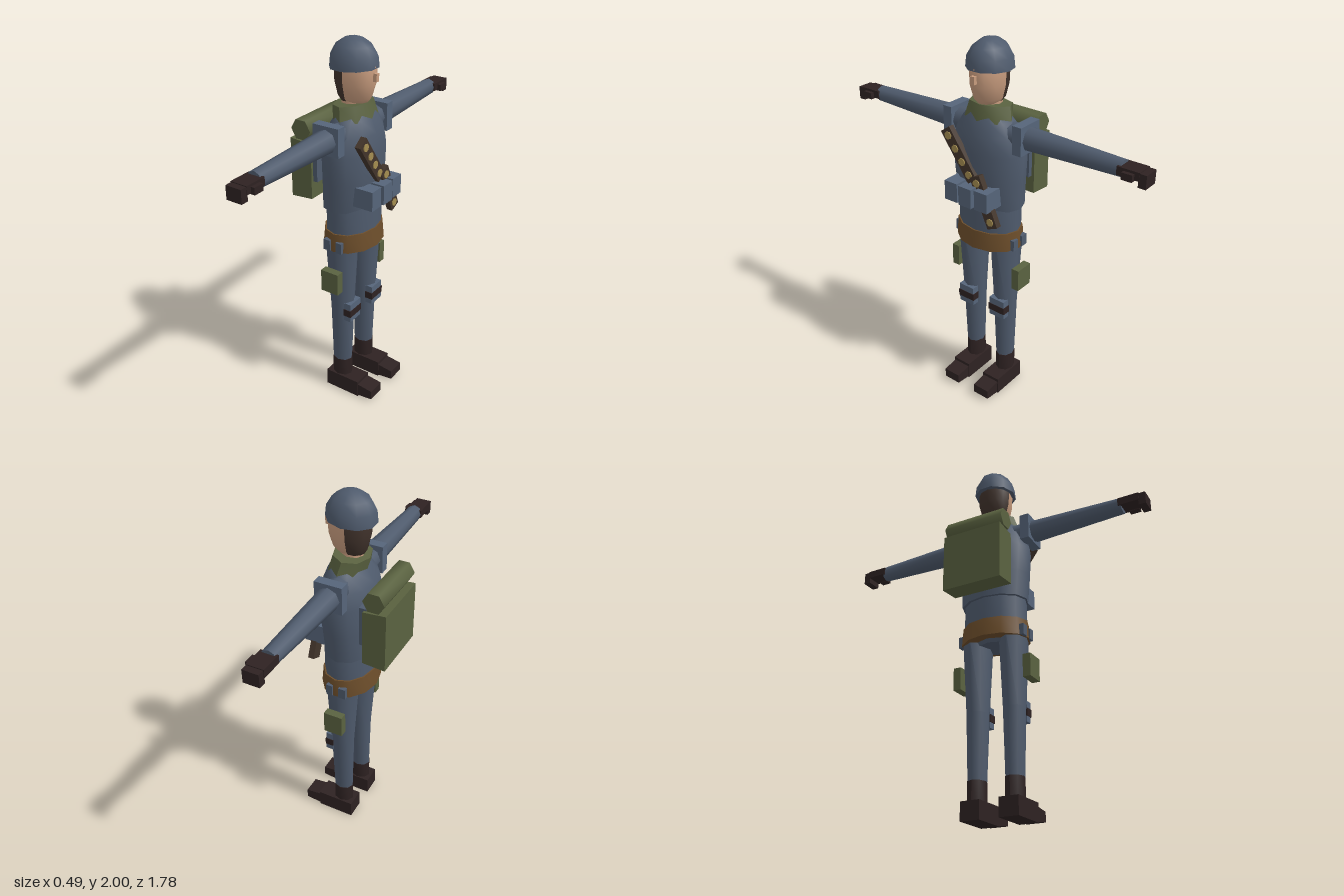
import * as THREE from 'three';
import { mergeVertices, toCreasedNormals } from 'three/addons/utils/BufferGeometryUtils.js';

const mat = (name, color) => {
  const m = new THREE.MeshStandardMaterial({ color });
  m.name = name;
  return m;
};

export function createModel() {
  const root = new THREE.Group();
  const cloth = mat('blue cloth', 0x4f5b6d);
  const pad = mat('light blue pad', 0x56657a);
  const green = mat('olive canvas', 0x5a6240);
  const leather = mat('belt leather', 0x6d4e2b);
  const boot = mat('dark leather', 0x2e2222);
  const strap = mat('brown strap', 0x42342a);
  const hair = mat('brown hair', 0x40322b);
  const skin = mat('skin', 0xc89c7e);
  const brass = mat('brass', 0xa48d50);

  const add = (name, geo, material, parent = root) => {
    const m = new THREE.Mesh(geo, material);
    m.name = name;
    parent.add(m);
    return m;
  };

  // box given by its minimum and maximum on each axis
  const box = (name, material, x0, x1, y0, y1, z0, z1, parent) => {
    const m = add(name, new THREE.BoxGeometry(x1 - x0, y1 - y0, z1 - z0), material, parent);
    m.position.set((x0 + x1) / 2, (y0 + y1) / 2, (z0 + z1) / 2);
    return m;
  };

  // closed tube through elliptical rings [y, centreX, radiusX, radiusZ, centreZ, tilt]
  const loft = (rings, sides = 10, start = 0, sweep = Math.PI * 2) => {
    const all = [[...rings[0]], ...rings, [...rings[rings.length - 1]]];
    const pts = all.map((r, i) => new THREE.Vector2(i === 0 || i === all.length - 1 ? 0 : 1, i));
    const geo = new THREE.LatheGeometry(pts, sides, start, sweep);
    const p = geo.attributes.position;
    for (let i = 0; i < p.count; i++) {
      const [y, cx, rx, rz, cz = 0, tilt = 0] = all[Math.round(p.getY(i))];
      const x = p.getX(i) * rx;
      p.setXYZ(i, cx + x, y + tilt * x, cz + p.getZ(i) * rz);
    }
    geo.deleteAttribute('uv');
    geo.deleteAttribute('normal');
    return toCreasedNormals(mergeVertices(geo), 0.9);
  };

  // trunk, facing +x
  add('jacket', loft([[1.145, 0.01, 0.135, 0.19], [1.3, 0.018, 0.142, 0.2], [1.45, 0.02, 0.142, 0.21],
    [1.54, 0.022, 0.13, 0.185], [1.61, 0.03, 0.095, 0.14], [1.64, 0.03, 0.08, 0.11]], 12), cloth);
  add('waist', loft([[0.95, 0.02, 0.13, 0.178], [1.18, 0.02, 0.13, 0.178]], 12), cloth);
  add('belt', loft([[0.92, 0.02, 0.147, 0.192], [1.02, 0.02, 0.137, 0.186]], 12), leather);
  add('pelvis', loft([[0.9, 0.02, 0.09, 0.11], [0.95, 0.02, 0.11, 0.14]], 8), cloth);
  add('collar', loft([[1.605, 0.03, 0.095, 0.14, 0, 0.05], [1.68, 0.012, 0.092, 0.118, 0, 0.11]], 8), green);
  add('neck', loft([[1.6, 0.015, 0.06, 0.058], [1.74, 0.015, 0.06, 0.058]], 8), skin);

  // head: face in front, hair behind
  const headRings = r => [[1.687, 0.01, r * 0.66, 0.052], [1.71, 0.01, r * 0.8, 0.07],
    [1.78, 0.01, r * 0.96, 0.088], [1.87, 0.01, r, 0.092], [1.92, 0.01, r * 0.8, 0.08]];
  add('face', loft(headRings(0.13), 6, 0, Math.PI), skin);
  add('hair', loft(headRings(0.093), 6, Math.PI, Math.PI), hair);
  box('nose', skin, 0.12, 0.153, 1.8, 1.84, -0.011, 0.011);
  add('helmet', loft([[1.853, 0.018, 0.128, 0.114, 0, 0.06], [1.91, 0.018, 0.122, 0.108, 0, 0.03],
    [1.96, 0.018, 0.094, 0.08], [1.99, 0.018, 0.05, 0.042], [2, 0.018, 0.012, 0.012]], 10), cloth);

  // backpack with bedroll
  box('packFrame', cloth, -0.14, -0.1, 1.27, 1.485, -0.155, 0.155);
  const pack = box('backpack', green, -0.25, -0.125, 1.175, 1.475, -0.17, 0.17);
  const pp = pack.geometry.attributes.position;
  for (let i = 0; i < pp.count; i++) if (pp.getX(i) < 0) pp.setY(i, pp.getY(i) * 1.07);
  pack.geometry.computeVertexNormals();
  const roll = add('bedroll', toCreasedNormals(new THREE.CylinderGeometry(0.058, 0.058, 0.345, 6), 1.2), green);
  roll.geometry.rotateY(Math.PI / 2).rotateX(Math.PI / 2);
  roll.position.set(-0.183, 1.54, 0);

  // chest pouches
  [-0.095, 0, 0.095].forEach(z =>
    box('chestPouch', pad, 0.1, z ? 0.218 : 0.225, 1.185, 1.29, z - 0.04, z + 0.04));

  // two-piece bandolier with cartridges
  [[0.158, 1.548, -0.012, 1.31, 4], [-0.03, 1.345, -0.143, 1.09, 4]].forEach(([z0, y0, z1, y1, n], k) => {
    const g = new THREE.Group();
    g.name = 'bandolier';
    const len = Math.hypot(z1 - z0, y1 - y0);
    g.position.set(0.162 + k * 0.006, (y0 + y1) / 2, (z0 + z1) / 2);
    g.rotation.x = Math.atan2(z0 - z1, y0 - y1);
    root.add(g);
    add('bandolierStrap', new THREE.BoxGeometry(0.032, len, 0.066), strap, g);
    for (let i = 0; i < n; i++) {
      const c = add('cartridge', new THREE.CylinderGeometry(0.021, 0.021, 0.008, 7).rotateZ(-Math.PI / 2), brass, g);
      c.position.set(0.017, len * (0.5 - (i + 0.5) / n), 0);
    }
  });

  // limbs, repeated on both sides
  [1, -1].forEach(s => {
    const side = new THREE.Group();
    side.name = s > 0 ? 'sideA' : 'sideB';
    root.add(side);
    const b = (name, m, x0, x1, y0, y1, z0, z1) =>
      box(name, m, x0, x1, y0, y1, Math.min(s * z0, s * z1), Math.max(s * z0, s * z1), side);

    // arm
    const arm = add('arm', loft([[0.1, 0.018, 0.064, 0.062], [0.24, 0.018, 0.061, 0.061],
      [0.755, 0.018, 0.042, 0.044]], 8), cloth, side);
    arm.rotation.x = s * Math.PI / 2;
    arm.position.y = 1.548;
    b('shoulderPad', pad, -0.056, 0.092, 1.477, 1.625, 0.19, 0.242);
    b('hand', boot, -0.025, 0.064, 1.53, 1.572, 0.74, 0.855);
    b('fingers', boot, -0.022, 0.062, 1.5, 1.568, 0.85, 0.889);
    b('thumb', boot, 0.05, 0.084, 1.525, 1.56, 0.775, 0.83);

    // leg
    add('leg', loft([[0.18, 0.018, 0.055, 0.047, s * 0.106], [0.55, 0.02, 0.066, 0.06, s * 0.106],
      [0.95, 0.018, 0.094, 0.077, s * 0.107]], 8), cloth, side);
    b('beltLoop', cloth, -0.04, 0, 0.92, 0.98, 0.16, 0.194);
    b('beltLoop', cloth, 0.035, 0.07, 0.92, 0.98, 0.16, 0.194);
    b('thighPouch', green, -0.035, 0.07, 0.687, 0.81, 0.183, 0.226);
    b('kneePad', pad, 0.06, 0.101, 0.485, 0.595, 0.058, 0.154);
    b('kneeStrap', boot, 0.058, 0.104, 0.517, 0.557, 0.054, 0.158);

    // boot
    add('bootShaft', loft([[0.05, 0.018, 0.058, 0.049, s * 0.106], [0.2, 0.018, 0.058, 0.049, s * 0.106]], 8), boot, side);
    b('foot', boot, -0.055, 0.155, 0, 0.097, 0.053, 0.16);
    const toe = b('toe', boot, 0.15, 0.243, 0.005, 0.08, 0.057, 0.156);
    const tp = toe.geometry.attributes.position;
    for (let i = 0; i < tp.count; i++) if (tp.getX(i) > 0) tp.setY(i, tp.getY(i) * 0.7);
    toe.geometry.computeVertexNormals();
  });

  return root;
}
